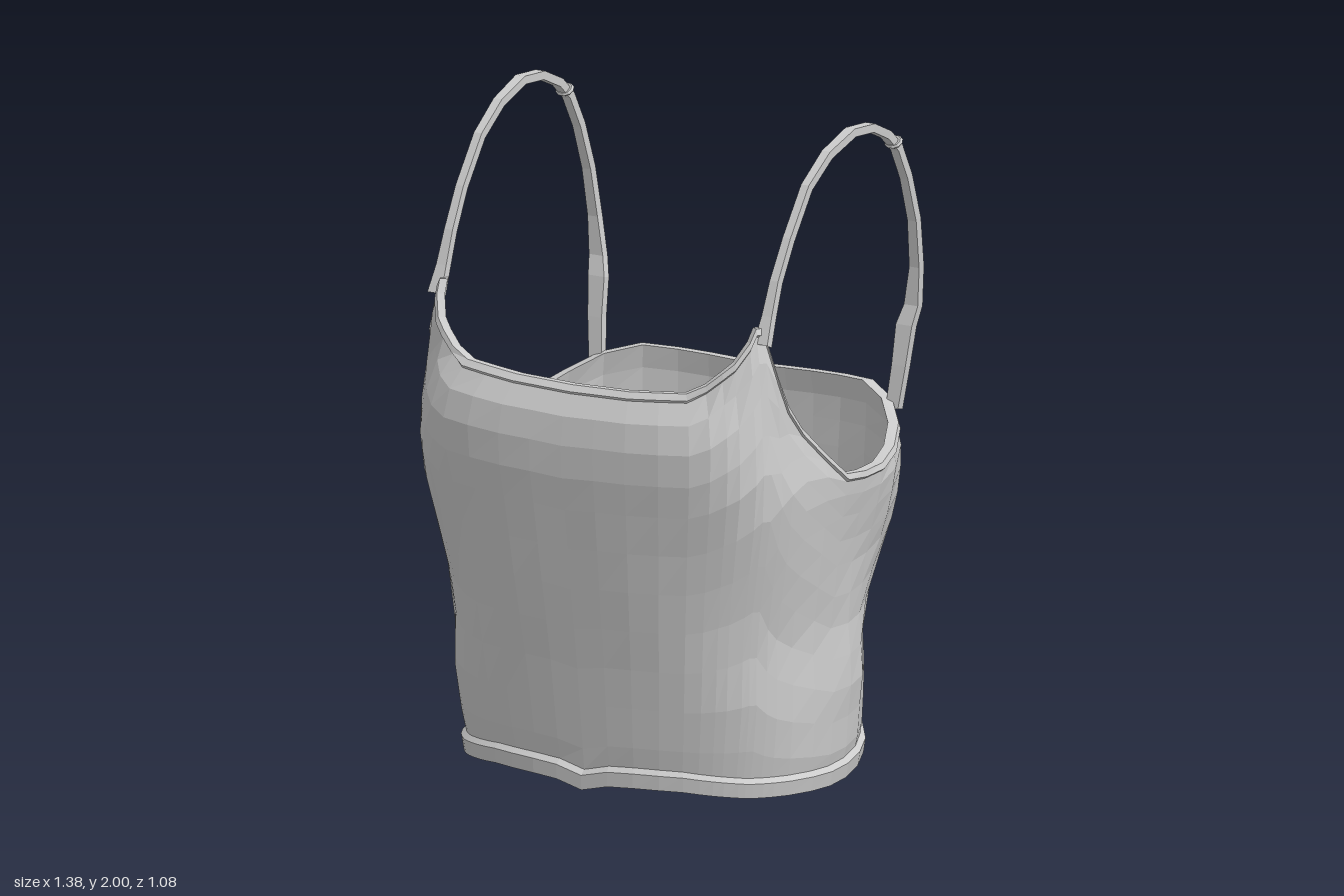
import * as THREE from 'three';

// piecewise-linear lookup through [position, value] pairs
const lerpTable = (pts) => (t) => {
  if (t <= pts[0][0]) return pts[0][1];
  for (let i = 1; i < pts.length; i++) {
    const [a, va] = pts[i - 1], [b, vb] = pts[i];
    if (t <= b) return va + (vb - va) * (t - a) / (b - a);
  }
  return pts[pts.length - 1][1];
};

// garment outline by height
const halfWidth = lerpTable([[0, 0.61], [0.3, 0.635], [0.5, 0.615], [0.65, 0.635], [0.96, 0.685], [1.15, 0.65], [1.3, 0.65], [1.47, 0.6]]);
const frontDepth = lerpTable([[0, 0.425], [0.1, 0.42], [0.4, 0.455], [0.8, 0.51], [1.0, 0.54], [1.14, 0.54], [1.22, 0.5], [1.27, 0.465], [1.47, 0.43]]);
const backDepth = lerpTable([[0.1, 0.46], [0.2, 0.415], [0.4, 0.41], [0.6, 0.505], [0.8, 0.535], [1.15, 0.54]]);
const frontSquareness = lerpTable([[0, 2.5], [0.4, 2.8], [1, 3.5], [1.25, 4.5], [1.47, 6]]);
const backSquareness = lerpTable([[0, 2.3], [0.4, 2.4], [0.8, 3], [1.1, 3.2]]);

// neckline, armhole and hem heights by angle in degrees from the front
const topEdge = lerpTable([[0, 1.25], [24, 1.255], [41, 1.27], [46, 1.3], [53, 1.37], [57, 1.43], [59, 1.47], [61, 1.47], [64, 1.32],
  [67, 1.23], [72, 1.15], [80, 1.06], [88, 0.98], [101, 0.965], [111, 1.0], [121, 1.05], [130, 1.1], [140, 1.13], [180, 1.115]]);
const hemEdge = lerpTable([[0, 0.0], [14, 0.025], [40, 0.03], [60, 0.015], [92, 0.015], [108, 0.05], [125, 0.1], [150, 0.125], [180, 0.115]]);

// surface through rings of points, closed around each ring
function loft(rings, closed) {
  const n = rings.length, m = rings[0].length, index = [];
  for (let i = 0; i < (closed ? n : n - 1); i++) {
    for (let k = 0; k < m; k++) {
      const i2 = (i + 1) % n, k2 = (k + 1) % m;
      const a = i * m + k, b = i2 * m + k, c = i2 * m + k2, d = i * m + k2;
      index.push(a, b, c, a, c, d);
    }
  }
  const g = new THREE.BufferGeometry();
  g.setAttribute('position', new THREE.Float32BufferAttribute(rings.flat(2), 3));
  g.setIndex(index);
  const flat = g.toNonIndexed();
  flat.computeVertexNormals();
  return flat;
}

// point of the rounded body outline at an angle and height
function bodyPoint(deg, y, offset) {
  const a = THREE.MathUtils.degToRad(deg), s = Math.sin(a), c = Math.cos(a);
  const depth = c > 0 ? frontDepth(y) : backDepth(y);
  const n = c > 0 ? frontSquareness(y) : backSquareness(y);
  let r = Math.pow(Math.pow(Math.abs(s) / halfWidth(y), n) + Math.pow(Math.abs(c) / depth, n), -1 / n);
  // soft diagonal cloth folds, deeper at the back
  const fade = Math.max(0, Math.min(1, (y - 0.1) * 4, (topEdge(Math.abs(deg)) - y) * 4));
  r += fade * (c > 0 ? 0.005 : 0.01) * Math.sin(6 * Math.abs(a) + 9 * y) * Math.abs(s);
  r += offset;
  return [r * s, y, r * c];
}

function bodyGeometry() {
  const half = [0, 12, 23, 33, 41, 46, 50, 53, 57, 59, 61, 64, 67, 72, 80, 88, 96, 104, 112, 121, 130, 140, 150, 160, 170, 180];
  const angles = [...half.slice(1, -1).reverse().map((d) => -d), ...half];
  const steps = [0.1, 0.2, 0.3, 0.4, 0.5, 0.6, 0.7, 0.78, 0.86, 0.93];
  const rings = angles.map((deg) => {
    const top = topEdge(Math.abs(deg)), hem = hemEdge(Math.abs(deg)), h = top - hem;
    const wall = Math.abs(deg) > 90 ? 0.032 : 0.024;
    // outer face with hem and neck bindings
    const outer = [[hem, 0.006], [hem + 0.045, 0.01], [hem + 0.06, -0.006],
      ...steps.map((v) => [hem + h * v, 0]), [top - 0.025, -0.004], [top - 0.018, 0.004], [top, 0]];
    // inner face back down to the hem
    const inner = [[top, -wall], ...steps.slice().reverse().map((v) => [hem + h * v, -0.02]), [hem, -0.018]];
    return [...outer, ...inner].map(([y, off]) => bodyPoint(deg, y, off));
  });
  return loft(rings, true);
}

// strap path from front to back: x, y, z, width
const strapPath = [
  [0.588, 1.42, 0.335, 0.05], [0.587, 1.5, 0.3, 0.036], [0.587, 1.6, 0.262, 0.03], [0.59, 1.72, 0.2, 0.028],
  [0.59, 1.86, 0.105, 0.028], [0.592, 1.94, 0, 0.03], [0.595, 1.985, -0.12, 0.034], [0.595, 1.98, -0.22, 0.034],
  [0.592, 1.94, -0.31, 0.03], [0.592, 1.89, -0.365, 0.03], [0.59, 1.79, -0.418, 0.03], [0.587, 1.65, -0.465, 0.032],
  [0.58, 1.5, -0.488, 0.036], [0.568, 1.38, -0.488, 0.05], [0.555, 1.32, -0.47, 0.058], [0.548, 1.2, -0.452, 0.05], [0.535, 1.07, -0.435, 0.045],
];

function strapGeometry(side) {
  const rings = strapPath.map(([x, y, z, w], i) => {
    const p = strapPath[Math.max(0, i - 1)], q = strapPath[Math.min(strapPath.length - 1, i + 1)];
    const dy = q[1] - p[1], dz = q[2] - p[2], len = Math.hypot(dy, dz), t = 0.013;
    const ny = -dz / len * t, nz = dy / len * t;
    return [[1, 1], [-1, 1], [-1, -1], [1, -1]].map(([a, b]) => [side * x + a * w / 2, y + b * ny, z + b * nz]);
  });
  return loft(rings, false);
}

export function createModel() {
  const group = new THREE.Group();
  const cloth = new THREE.MeshStandardMaterial({ color: 0xcccccc, flatShading: true });
  cloth.name = 'light grey cloth';
  const add = (name, geometry) => {
    const mesh = new THREE.Mesh(geometry, cloth);
    mesh.name = name;
    group.add(mesh);
    return mesh;
  };

  add('body', bodyGeometry());
  for (const [label, side] of [['left', 1], ['right', -1]]) {
    add(label + 'Strap', strapGeometry(side));
    // small slider ring around the strap
    const ring = add(label + 'StrapRing', new THREE.TorusGeometry(0.019, 0.007, 5, 10));
    ring.position.set(side * 0.593, 1.91, -0.348);
    ring.rotation.x = -0.9;
    ring.scale.x = 1.2;
  }
  return group;
}
